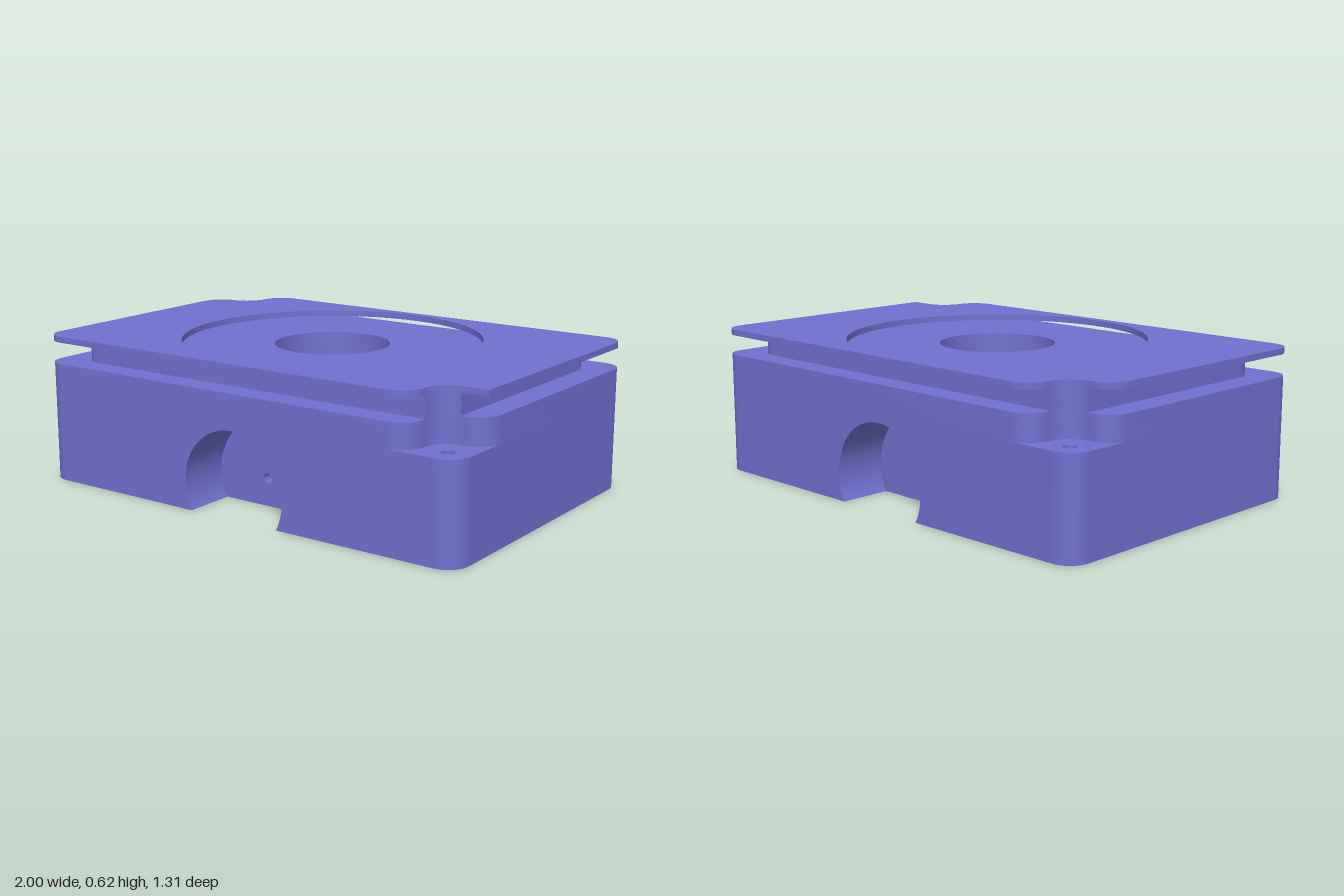
import * as THREE from 'three';
import { toCreasedNormals } from 'three/addons/utils/BufferGeometryUtils.js';

// Plan outlines use (x, -z) so that a quarter turn about x lays them flat.
const W = 1, D = 0.656, R = 0.09;          // half width, half depth, corner radius
const SHELF = 0.4, GROOVE = 0.5, FLANGE = 0.59, TOP = 0.615;
const BORE = 0.237, COUNTERBORE = 0.33, COUNTERBORE_TOP = 0.32;
const POCKET = 0.24, POCKET_Y = 0.115, POCKET_Z = 0.436, PIN = 0.02;
const CHORD = Math.sqrt(POCKET ** 2 - POCKET_Y ** 2);

const P = (x, y) => new THREE.Vector2(x, y);
const negate = (pts) => pts.map((p) => P(-p.x, -p.y));
const symmetric = (half) => [...half, ...negate(half)];

function arc(cx, cy, r, from, to, n = 12) {
  return Array.from({ length: n + 1 }, (_, i) => {
    const a = THREE.MathUtils.degToRad(from + ((to - from) * i) / n);
    return P(cx + r * Math.cos(a), cy + r * Math.sin(a));
  });
}

function shapeOf(pts, holes = []) {
  const shape = new THREE.Shape(pts);
  for (const [x, y, r] of holes) shape.holes.push(new THREE.Path().absarc(x, y, r, 0, Math.PI * 2, true));
  return shape;
}

export function createModel() {
  const model = new THREE.Group();
  const material = new THREE.MeshStandardMaterial({ color: 0x7070d0, side: THREE.DoubleSide });

  const add = (name, geometry, x = 0, y = 0, z = 0) => {
    const mesh = new THREE.Mesh(geometry, material);
    mesh.name = name;
    mesh.position.set(x, y, z);
    model.add(mesh);
    return mesh;
  };
  const slab = (name, pts, holes, y0, y1) => {
    const g = new THREE.ExtrudeGeometry(shapeOf(pts, holes), { depth: y1 - y0, bevelEnabled: false, curveSegments: 48 });
    g.rotateX(-Math.PI / 2);
    add(name, toCreasedNormals(g, 0.5), 0, y0, 0);
  };
  const sheet = (name, pts, holes, y) =>
    add(name, new THREE.ShapeGeometry(shapeOf(pts, holes), 48).rotateX(-Math.PI / 2), 0, y, 0);
  const tube = (name, r, x, z, y0, y1, start = 0, sweep = Math.PI * 2, n = 64) =>
    add(name, new THREE.CylinderGeometry(r, r, y1 - y0, n, 1, true, start, sweep), x, (y0 + y1) / 2, z);
  const disc = (name, r, x, y, z) =>
    add(name, new THREE.CircleGeometry(r, 48).rotateX(-Math.PI / 2), x, y, z);

  // Outlines
  const corners = [...arc(W - R, R - D, R, -90, 0), ...arc(W - R, D - R, R, 0, 90)];
  const pocketCut = [P(-CHORD, -D), P(-CHORD, -POCKET_Z), P(CHORD, -POCKET_Z), P(CHORD, -D)];
  const fillet = arc(0.7, 0.1 - D, 0.1, -90, 0);
  const scoop = arc(0.9, 0.1 - D, 0.1, 180, 90);
  const endFillet = arc(0.9, 0.3 - D, 0.1, -90, 0);
  const farCorner = arc(W - R, D - R, R, 0, 90);
  const notched = [...fillet, ...scoop, ...endFillet, ...farCorner];
  const flangeHalf = [...fillet, ...scoop, P(W, 0.2 - D), ...farCorner];
  const neckHalf = [P(0.8, -0.55), ...arc(0.9, 0.1 - D, 0.1, 176, 96), ...arc(0.8, 0.46, 0.09, 0, 90)];

  // Underside with counterbore and two round recesses
  const recesses = [[0.79, -0.073, 0.19], [-0.79, 0.073, 0.19]];
  sheet('underside', symmetric([...pocketCut, ...corners]), [[0, 0, COUNTERBORE], ...recesses], 0);
  for (const [x, y, r] of recesses) {
    tube('recessWall', r, x, -y, 0, 0.17);
    disc('recessCeiling', r, x, 0.17, -y);
  }

  // Lower side walls and rounded corners
  for (const s of [-1, 1]) {
    const end = new THREE.PlaneGeometry(2 * (D - R), SHELF).rotateY((s * Math.PI) / 2);
    add('endWall', end, s * W, SHELF / 2, 0);
  }
  [[1, 1], [1, -1], [-1, -1], [-1, 1]].forEach(([sx, sz], i) =>
    tube('cornerWall', R, sx * (W - R), sz * (D - R), 0, SHELF, (i * Math.PI) / 2, Math.PI / 2, 12));

  // Front and back walls, each with an arched pocket and a pinhole to the bore
  const low = Math.acos(POCKET_Y / POCKET);
  const lowDeg = THREE.MathUtils.radToDeg(Math.asin(POCKET_Y / POCKET));
  const arch = arc(0, POCKET_Y, POCKET, 180 + lowDeg, -lowDeg, 48);
  const faceShape = shapeOf([P(R - W, 0), ...arch, P(W - R, 0), P(W - R, SHELF), P(R - W, SHELF)]);
  const backShape = shapeOf(arch, [[0, POCKET_Y, PIN]]);
  const panelHalf = COUNTERBORE * Math.sin(0.1), panelZ = COUNTERBORE * Math.cos(0.1);
  const panelShape = shapeOf([P(-panelHalf, 0), P(panelHalf, 0), P(panelHalf, COUNTERBORE_TOP),
    P(-panelHalf, COUNTERBORE_TOP)], [[0, POCKET_Y, PIN]]);
  for (const s of [1, -1]) {
    const turn = s > 0 ? 0 : Math.PI;
    const face = (name, shape, z) => add(name, new THREE.ShapeGeometry(shape, 24).rotateY(turn), 0, 0, s * z);
    face('longWall', faceShape, D);
    face('pocketBack', backShape, POCKET_Z);
    face('boreWallPanel', panelShape, panelZ);
    const depth = D - POCKET_Z;
    add('pocketArch', new THREE.CylinderGeometry(POCKET, POCKET, depth, 48, 1, true, low, 2 * (Math.PI - low))
      .rotateX(Math.PI / 2), 0, POCKET_Y, s * (POCKET_Z + depth / 2));
    const length = POCKET_Z - panelZ;
    add('pinhole', new THREE.CylinderGeometry(PIN, PIN, length, 24, 1, true).rotateX(Math.PI / 2),
      0, POCKET_Y, s * (panelZ + length / 2));
    tube('counterboreWall', COUNTERBORE, 0, 0, 0, COUNTERBORE_TOP, 0.1 + turn, Math.PI - 0.2);
  }
  add('counterboreCeiling', new THREE.RingGeometry(BORE, COUNTERBORE, 64).rotateX(Math.PI / 2), 0, COUNTERBORE_TOP, 0);
  tube('boreWall', BORE, 0, 0, COUNTERBORE_TOP, SHELF);

  // Corner shelves with one peg hole and two tiny holes each
  const pegs = [];
  for (const s of [1, -1]) {
    pegs.push([0.905 * s, -0.565 * s, 0.026], [0.95 * s, -0.525 * s, 0.007], [0.867 * s, -0.607 * s, 0.007]);
  }
  sheet('cornerShelf', symmetric(corners), [[0, 0, BORE], ...pegs], SHELF);
  for (const [x, y, r] of pegs) {
    const floor = SHELF - 5 * r;
    tube('pegHole', r, x, -y, floor, SHELF, 0, Math.PI * 2, 24);
    disc('pegHoleFloor', r, x, floor, -y);
  }

  // Notched upper body, slightly raised along two sides
  const bore = [[0, 0, BORE]];
  slab('upperBody', symmetric(notched), bore, SHELF, GROOVE);
  const raised = [...notched.slice(fillet.length), ...negate(fillet), P(0.4, 0.3)];
  slab('raisedLedge', raised, [], GROOVE, GROOVE + 0.007);

  // Inset neck and top flange with the wide round opening
  slab('neck', symmetric(neckHalf), bore, GROOVE, FLANGE);
  slab('topFlange', [...flangeHalf, ...negate(notched)], [[0, 0, 0.618]], FLANGE, TOP);

  return model;
}
